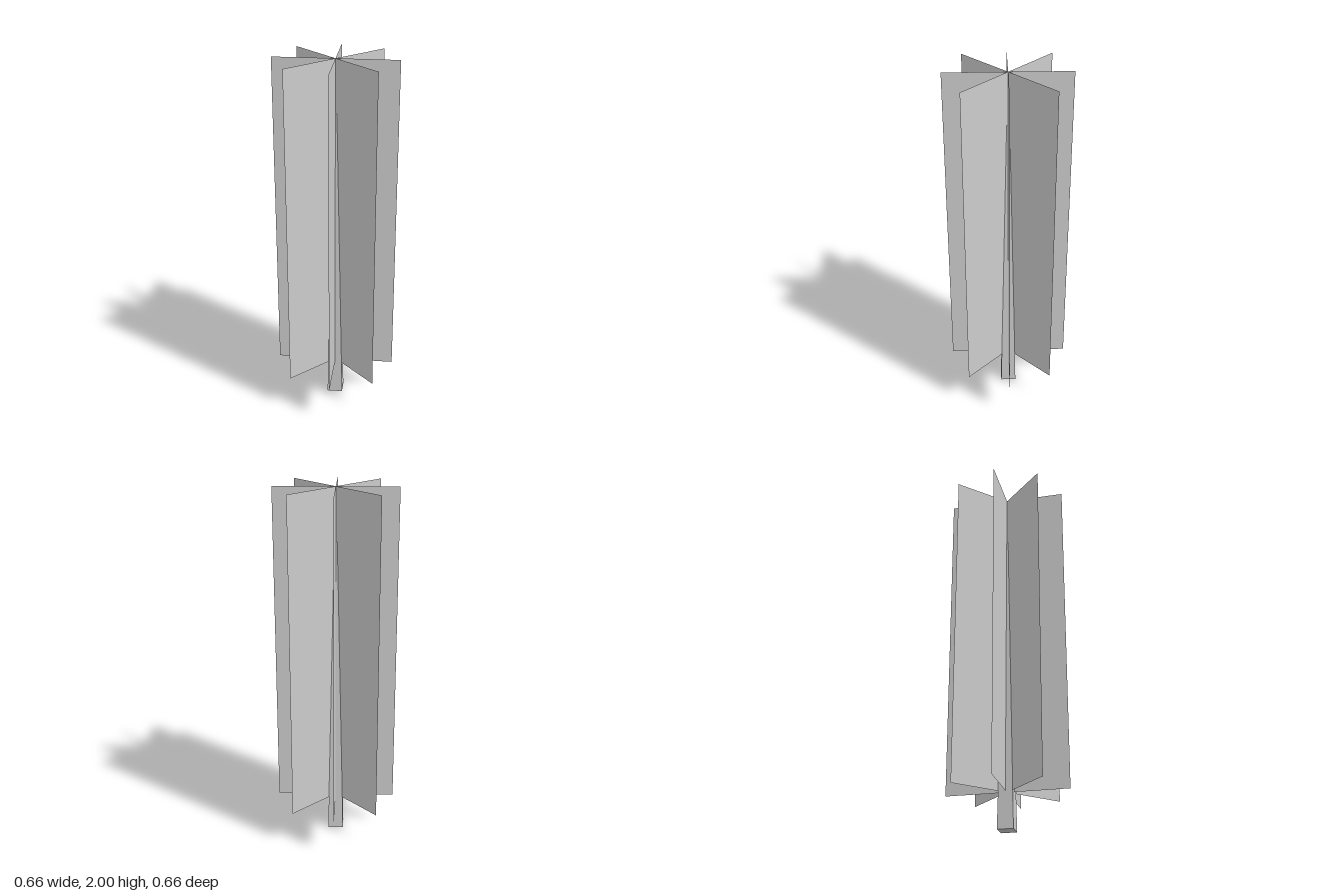
import * as THREE from 'three';

export function createModel() {
  const group = new THREE.Group();
  const solid = new THREE.MeshStandardMaterial({ color: 0xcccccc, flatShading: true });
  const thin = new THREE.MeshStandardMaterial({ color: 0xcccccc, side: THREE.DoubleSide });

  // Square trunk tapering towards the top
  const height = 1.71;
  const trunkGeometry = new THREE.CylinderGeometry(0.008 * Math.SQRT2, 0.043 * Math.SQRT2, height, 4);
  trunkGeometry.rotateY(Math.PI / 4).translate(0, height / 2, 0);
  const trunk = new THREE.Mesh(trunkGeometry, solid);
  trunk.name = 'trunk';
  group.add(trunk);

  // Four upright foliage cards crossing on the trunk axis
  const card = new THREE.PlaneGeometry(0.664, 1.8).translate(0, 1.1, 0);
  for (let i = 0; i < 4; i++) {
    const foliage = new THREE.Mesh(card, thin);
    foliage.name = `foliageCard${i + 1}`;
    foliage.rotation.y = (i * Math.PI) / 4;
    group.add(foliage);
  }
  return group;
}
